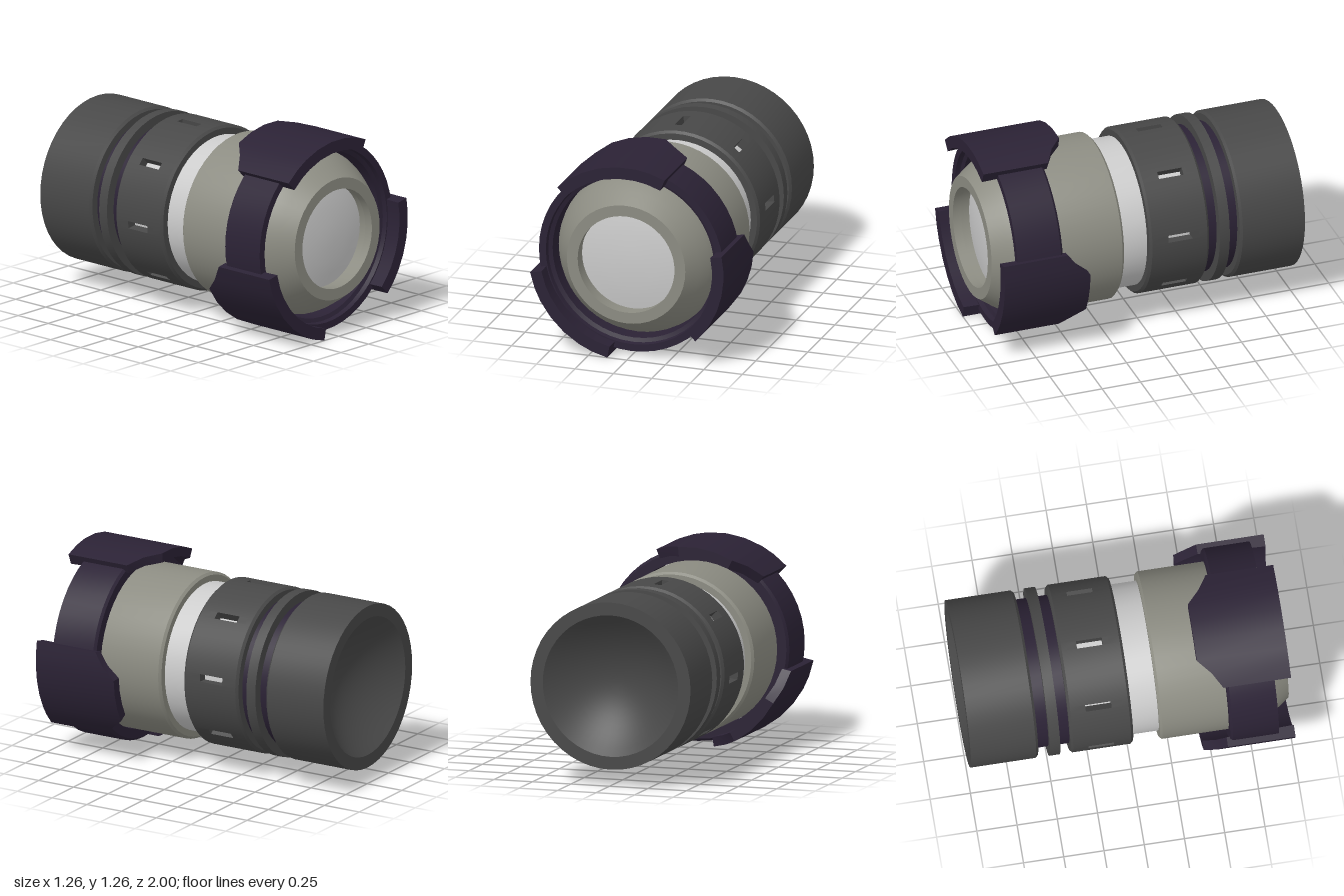
import * as THREE from 'three';
import { mergeGeometries, toCreasedNormals } from 'three/addons/utils/BufferGeometryUtils.js';

const rad = THREE.MathUtils.degToRad;
const material = (color) => new THREE.MeshStandardMaterial({ color, side: THREE.DoubleSide });

// Turned part around the z axis; profile is [radius, z], outside running forward
function turned(name, profile, mat) {
  const points = profile.map(([r, z]) => new THREE.Vector2(r, z));
  const geometry = new THREE.LatheGeometry(points, 48).rotateX(Math.PI / 2);
  return named(name, geometry, mat);
}

function named(name, geometry, mat) {
  const mesh = new THREE.Mesh(toCreasedNormals(geometry, rad(25)), mat);
  mesh.name = name;
  return mesh;
}

// Capped arc around the z axis; section(t) gives a closed convex loop of [radius, z]
function arc(from, to, stops, section) {
  const positions = [];
  const index = [];
  const n = section(0).length;
  stops.forEach((t) => {
    const a = rad(from + (to - from) * t);
    section(t).forEach(([r, z]) => positions.push(r * Math.cos(a), r * Math.sin(a), z));
  });
  for (let s = 0; s < stops.length - 1; s++) {
    for (let i = 0; i < n; i++) {
      const a = s * n + i, d = s * n + (i + 1) % n;
      index.push(a, a + n, d, d, a + n, d + n);
    }
  }
  const last = (stops.length - 1) * n;
  for (let i = 1; i < n - 1; i++) index.push(0, i, i + 1, last, last + i + 1, last + i);
  const geometry = new THREE.BufferGeometry();
  geometry.setAttribute('position', new THREE.Float32BufferAttribute(positions, 3));
  geometry.setIndex(index);
  return geometry;
}

const evenStops = (count) => Array.from({ length: count + 1 }, (_, i) => i / count);

// Dark sleeve pierced by eight slots
function slottedSleeve(mat) {
  const inner = 0.46, outer = 0.52, bevel = 0.505;
  const back = [[inner, -0.38], [bevel, -0.38], [outer, -0.365]];
  const front = [[outer, -0.005], [bevel, 0.01], [inner, 0.01]];
  const whole = [...back, ...front];
  const behindSlot = [...back, [outer, -0.27], [inner, -0.27]];
  const beforeSlot = [[inner, -0.11], [outer, -0.11], ...front];
  const pieces = [];
  for (let k = 0; k < 8; k++) {
    const middle = 5.5 + k * 45, half = 2.6;
    pieces.push(arc(middle - half, middle + half, [0, 1], () => behindSlot));
    pieces.push(arc(middle - half, middle + half, [0, 1], () => beforeSlot));
    pieces.push(arc(middle + half, middle + 45 - half, evenStops(6), () => whole));
  }
  return named('slottedSleeve', mergeGeometries(pieces), mat);
}

// Protective collar: a continuous band with three raised, tapered guards
function collar(mat) {
  const group = new THREE.Group();
  group.name = 'collar';
  group.add(turned('collarBand', [
    [0.525, 0.6], [0.585, 0.6], [0.6, 0.615], [0.6, 0.9], [0.555, 0.9],
    [0.55, 0.87], [0.525, 0.86], [0.525, 0.6],
  ], mat));

  const stops = [0, 0.14, 0.26, 0.42, 0.58, 0.74, 0.86, 1];
  const backEdge = [0.58, 0.52, 0.44, 0.44, 0.44, 0.44, 0.52, 0.58];
  const section = (t) => {
    const z = backEdge[stops.indexOf(t)];
    return [[0.575, z], [0.635, z], [0.635, 1], [0.56, 1]];
  };
  [[66.6, 134.6], [191.5, 259], [315.4, 371.6]].forEach(([from, to]) => {
    group.add(named('collarGuard', arc(from, to, stops, section), mat));
  });
  return group;
}

export function createModel() {
  const dark = material(0x484848);
  const violet = material(0x2b2235);
  const grey = material(0x8c8c82);
  const metal = material(0xcccccc);

  const model = new THREE.Group();
  model.name = 'cylindricalDevice';
  const body = new THREE.Group();
  body.name = 'body';
  body.position.set(-0.007, 0.628, 0);
  model.add(body);

  // Rear cup with a dished end
  const dish = evenStops(10).map((t) => {
    const r = 0.44 * t;
    return [r, -0.8 - 0.2 * t * t];
  });
  body.add(turned('rearCup', [
    ...dish, [0.52, -1], [0.52, -0.595], [0.505, -0.58], [0.45, -0.58],
  ], dark));

  // Narrow neck and its raised ring
  body.add(turned('neck', [[0.46, -0.59], [0.46, -0.37]], violet));
  body.add(turned('neckRing', [
    [0.45, -0.51], [0.52, -0.51], [0.52, -0.445], [0.45, -0.445],
  ], dark));

  // Bright inner tube, seen through the slots and between the sleeves
  body.add(turned('innerTube', [[0.455, -0.37], [0.455, -0.005], [0.465, 0.0], [0.465, 0.19]], metal));
  body.add(slottedSleeve(dark));

  // Front housing with a domed nose and stepped lens opening
  body.add(turned('frontHousing', [
    [0.45, 0.175], [0.505, 0.175], [0.52, 0.19], [0.52, 0.74], [0.51, 0.79],
    [0.485, 0.845], [0.445, 0.91], [0.385, 0.995], [0.315, 0.995],
    [0.315, 0.94], [0.325, 0.94], [0.325, 0.88],
  ], grey));

  // Slightly domed lens
  body.add(turned('lens', [
    [0.325, 0.885], [0.25, 0.898], [0.17, 0.907], [0.08, 0.913], [0, 0.915],
  ], metal));

  body.add(collar(violet));
  return model;
}
